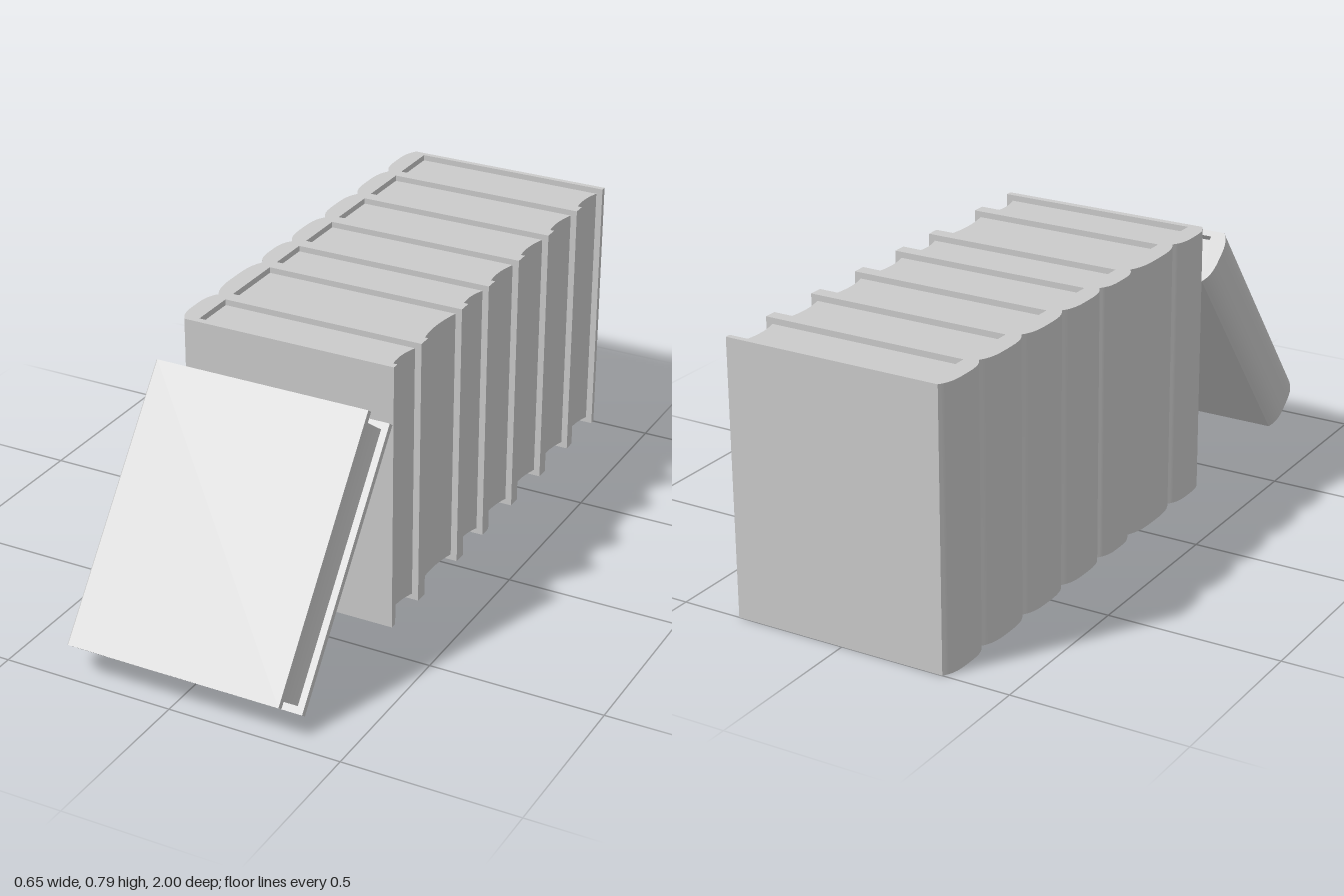
import * as THREE from 'three';
import { toCreasedNormals } from 'three/addons/utils/BufferGeometryUtils.js';

const HEIGHT = 0.785;
const FORE_EDGE = 0.325; // free edge of the covers
const SPINE_INNER = -0.27;
const SPINE_EDGE = -0.304; // where the flat cover meets the rounded spine
const material = new THREE.MeshStandardMaterial({ color: 0xcccccc });

// Extrude an outline of [x, z] points upwards from y0 to y1
function prism(name, points, y0, y1) {
  const shape = new THREE.Shape(points.map(([x, z]) => new THREE.Vector2(x, -z)));
  const extruded = new THREE.ExtrudeGeometry(shape, { depth: y1 - y0, bevelEnabled: false });
  extruded.rotateX(-Math.PI / 2);
  extruded.translate(0, y0, 0);
  const mesh = new THREE.Mesh(toCreasedNormals(extruded, 0.6), material);
  mesh.name = name;
  return mesh;
}

// Points of a bowed edge running from z0 to z1; a higher power gives a flatter middle
function bowedEdge(x, bulge, z0, z1, power, steps) {
  return Array.from({ length: steps + 1 }, (_, i) => {
    const t = -Math.cos((Math.PI * i) / steps);
    return [x + bulge * (1 - Math.abs(t) ** power), z0 + ((z1 - z0) * (t + 1)) / 2];
  });
}

// A book whose back cover lies on z = 0, with its spine towards -x
function makeBook(name, thickness, board, inset) {
  const book = new THREE.Group();
  book.name = name;
  const inner0 = board;
  const inner1 = thickness - board;

  // C-shaped binding: both boards and the rounded spine
  const cover = [
    ...bowedEdge(SPINE_EDGE, FORE_EDGE * -1 - SPINE_EDGE, 0, thickness, 3.5, 16),
    [FORE_EDGE, thickness],
    [FORE_EDGE, inner1],
    [SPINE_INNER, inner1],
    [SPINE_INNER, inner0],
    [FORE_EDGE, inner0],
    [FORE_EDGE, 0],
  ];
  book.add(prism('cover', cover, 0, HEIGHT));

  // Page block with a hollow fore edge
  const pages = [
    [SPINE_INNER, inner0],
    ...bowedEdge(0.306, -0.013, inner0, inner1, 2, 12),
    [SPINE_INNER, inner1],
  ];
  book.add(prism('pages', pages, inset, HEIGHT - inset));
  return book;
}

export function createModel() {
  const model = new THREE.Group();
  model.name = 'bookRow';

  // Upright row, from the back to the front
  const joints = [-1, -0.814, -0.611, -0.409, -0.212, -0.043, 0.2, 0.378];
  for (let i = 0; i < joints.length - 1; i++) {
    const book = makeBook('uprightBook' + (i + 1), joints[i + 1] - joints[i], i === 0 ? 0.016 : 0.02, 0.017);
    book.position.z = joints[i];
    model.add(book);
  }

  // Last book leaning back against the row
  const leaning = makeBook('leaningBook', 0.171, 0.019, 0.02);
  leaning.rotation.x = -0.659;
  leaning.position.z = 0.865;
  model.add(leaning);

  return model;
}
